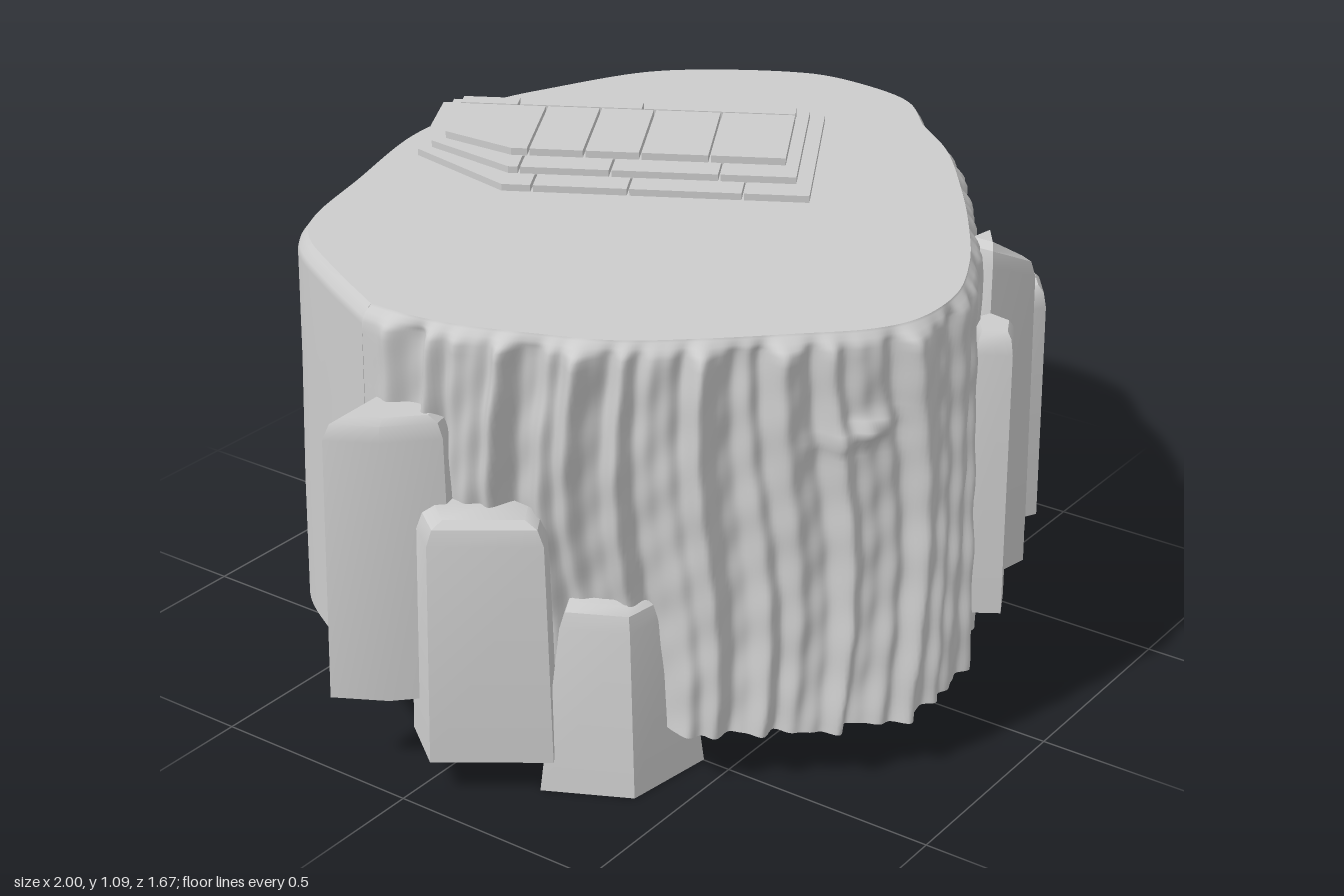
import * as THREE from 'three';
import { toCreasedNormals } from 'three/addons/utils/BufferGeometryUtils.js';

const stone = new THREE.MeshStandardMaterial({ color: 0xcccccc, side: THREE.DoubleSide });
stone.name = 'pale stone';

// Joins rows of equally many points into a skin
function loft(rows, closed = false) {
  const n = rows[0].length, index = [];
  for (let r = 0; r < rows.length - 1; r++) {
    for (let i = 0; i < (closed ? n : n - 1); i++) {
      const a = r * n + i, b = r * n + (i + 1) % n;
      index.push(a, a + n, b, b, a + n, b + n);
    }
  }
  const geo = new THREE.BufferGeometry();
  geo.setAttribute('position', new THREE.Float32BufferAttribute(rows.flat(2), 3));
  geo.setIndex(index);
  geo.computeVertexNormals();
  return geo;
}

function add(group, name, geo) {
  const mesh = new THREE.Mesh(geo, stone);
  mesh.name = name;
  group.add(mesh);
}

// Evenly spaced points on a smooth plan curve, as [x, z]
function plan(points, count) {
  const curve = new THREE.CatmullRomCurve3(points.map(([x, z]) => new THREE.Vector3(x, 0, z)), false, 'centripetal');
  return curve.getSpacedPoints(count).map(p => [p.x, p.z]);
}

const smooth = THREE.MathUtils.smoothstep;
const rimScale = y => 1 - 0.022 * smooth(y, 0.15, 1) - 0.01 * smooth(y, 1.0, 1.03) - 0.018 * smooth(y, 1.02, 1.04);

// Vertical folds of the cliff; t runs along it from right seam to left seam
function fold(t, x, y) {
  const s = t * 2.4, bend = 0.022 * Math.sin(y * 5 + s * 4);
  const wave = f => Math.sin((s + bend) * f);
  let d = 0.5 * wave(73) + 0.55 * wave(41 + 2 * y) + 0.5 * wave(27) + 0.25 * wave(118);
  d *= 0.011 + 0.011 * smooth(t, 0.35, 0.6);
  d += 0.003 * Math.sin(y * 38 + s * 21) * Math.sin(s * 33 + y * 9);
  // small slanting ledge
  const ly = y - 0.82 - 0.25 * (x + 0.36);
  d += 0.025 * Math.exp(-(((x + 0.36) / 0.06) ** 2)) * Math.exp(-((ly / 0.02) ** 2));
  const ends = smooth(t, 0, 0.12) * (1 - smooth(t, 0.94, 1));
  const tuck = 0.09 * smooth(t, 0.66, 0.8) * (1 - smooth(y, 0.2, 0.85));
  return d * ends * (1 - smooth(y, 1.0, 1.04)) - tuck;
}

// Stone column with an open foot, bevelled top and sloping head
function column(points, y0, y1, slope = 0, topScale = 0.94) {
  const cx = points.reduce((s, p) => s + p[0], 0) / points.length;
  const cz = points.reduce((s, p) => s + p[1], 0) / points.length;
  const row = (y, k, lean) => points.map(([x, z]) =>
    [cx + (x - cx) * k, y + lean * (x - cx), cz + (z - cz) * k]);
  const geo = loft([
    row(y0, 1.02, 0), row(y1 - 0.05, topScale, slope), row(y1 - 0.015, topScale * 0.9, slope),
    row(y1, topScale * 0.7, slope), row(y1, 0, slope)
  ], true);
  return toCreasedNormals(geo, 0.6);
}

// Paved slab with one chamfered corner, cut into courses along its length
function courses(group, name, t, y0, y1) {
  const vAt = u => u >= t.cu ? t.v1 : t.cv + (t.v1 - t.cv) * (u - t.u0) / (t.cu - t.u0);
  const gap = 0.003;
  const cuts = [t.u0, ...t.cuts, t.u1];
  for (let i = 0; i < cuts.length - 1; i++) {
    const a = cuts[i] + (i ? gap : 0), b = cuts[i + 1] - (i < cuts.length - 2 ? gap : 0);
    const pts = [[a, t.v0], [b, t.v0], [b, vAt(b)]];
    if (t.cu > a && t.cu < b) pts.push([t.cu, t.v1]);
    pts.push([a, vAt(a)]);
    const geo = new THREE.ExtrudeGeometry(new THREE.Shape(pts.map(p => new THREE.Vector2(...p))),
      { depth: y1 - y0, bevelEnabled: false });
    geo.rotateX(Math.PI / 2); // (u, v) becomes (x, z), depth runs down
    geo.translate(0, y1, 0);
    add(group, name, geo);
  }
}

export function createModel() {
  const model = new THREE.Group();
  model.name = 'rockPlateau';

  // Plan outlines of the rough front and the plain back
  const front = plan([[0.82, 0.18], [0.7, 0.32], [0.5, 0.48], [0.3, 0.62], [0.1, 0.74], [-0.08, 0.81],
    [-0.24, 0.81], [-0.34, 0.76], [-0.46, 0.64], [-0.6, 0.49], [-0.71, 0.35], [-0.78, 0.19],
    [-0.84, 0.02], [-0.86, -0.1], [-0.86, -0.2]], 360);
  const back = plan([[-0.86, -0.2], [-0.75, -0.41], [-0.65, -0.57], [-0.56, -0.64], [-0.3, -0.725],
    [0, -0.815], [0.17, -0.825], [0.34, -0.815], [0.5, -0.755], [0.74, -0.635], [0.85, -0.52],
    [0.97, -0.32], [1.0, -0.22], [0.98, -0.02], [0.94, 0.07], [0.82, 0.18]], 96);

  // Cliff with vertical folds
  const heights = Array.from({ length: 45 }, (_, i) => 0.125 + i * 0.02).concat(1.015, 1.025, 1.035, 1.04);
  add(model, 'frontCliff', loft(heights.map(y => front.map(([x, z], i) => {
    const r = Math.hypot(x, z), k = rimScale(y) + fold(i / 360, x, y) / r;
    return [x * k, y, z * k];
  }))));

  // Plain wall
  add(model, 'backWall', loft([0.15, 0.45, 0.75, 1, 1.015, 1.03, 1.04].map(y =>
    back.map(([x, z]) => [x * rimScale(y), y, z * rimScale(y)]))));

  // Flat top
  const rim = [...front, ...back.slice(1, -1)];
  add(model, 'plateauTop', loft([rimScale(1.04), 0].map(k => rim.map(([x, z]) => [x * k, 1.04, z * k])), true));

  // Columns against the cliff
  const columns = [
    [[[0.11, 0.72], [0.2, 0.65], [0.25, 0.67], [0.235, 0.75], [0.155, 0.79]], 0.185, 0.87],
    [[[0.25, 0.6], [0.35, 0.52], [0.435, 0.57], [0.405, 0.705], [0.25, 0.675]], 0.185, 0.98, -0.4],
    [[[0.44, 0.52], [0.51, 0.43], [0.6, 0.48], [0.565, 0.62], [0.435, 0.6]], 0.185, 0.85, -0.35],
    [[[0.54, 0.49], [0.63, 0.43], [0.73, 0.51], [0.72, 0.55], [0.63, 0.615], [0.56, 0.58]], 0.185, 0.775],
    [[[-1.0, -0.19], [-0.8, -0.2], [-0.76, 0.0], [-0.84, 0.02], [-0.94, -0.08]], 0.185, 0.845],
    [[[-0.95, 0.04], [-0.86, -0.08], [-0.7, 0.0], [-0.72, 0.2], [-0.8, 0.25]], 0.08, 0.645],
    [[[-0.8, 0.22], [-0.62, 0.12], [-0.41, 0.28], [-0.5, 0.43], [-0.71, 0.4]], 0, 0.43, 0, 0.75]
  ];
  for (const c of columns) add(model, 'stoneColumn', column(...c));

  // Stepped stone platform lying askew on the top
  const platform = new THREE.Group();
  platform.name = 'steppedPlatform';
  platform.position.set(0.2, 0, -0.84);
  platform.rotation.y = -Math.atan2(0.872, 0.49);
  courses(platform, 'lowerStep',
    { u0: 0, u1: 0.93, v0: 0, v1: 0.537, cu: 0.231, cv: 0.331, cuts: [0.3, 0.52, 0.78] }, 1.035, 1.056);
  courses(platform, 'middleStep',
    { u0: 0.03, u1: 0.895, v0: 0.02, v1: 0.465, cu: 0.235, cv: 0.315, cuts: [0.26, 0.47, 0.72] }, 1.054, 1.072);
  courses(platform, 'floorPlank',
    { u0: 0.06, u1: 0.865, v0: 0.096, v1: 0.39, cu: 0.23, cv: 0.295, cuts: [0.27, 0.4, 0.53, 0.69] }, 1.07, 1.089);
  courses(platform, 'edgePlank',
    { u0: 0.06, u1: 0.865, v0: 0.045, v1: 0.09, cu: 0, cv: 0.09, cuts: [0.2, 0.5] }, 1.07, 1.089);
  model.add(platform);

  return model;
}
